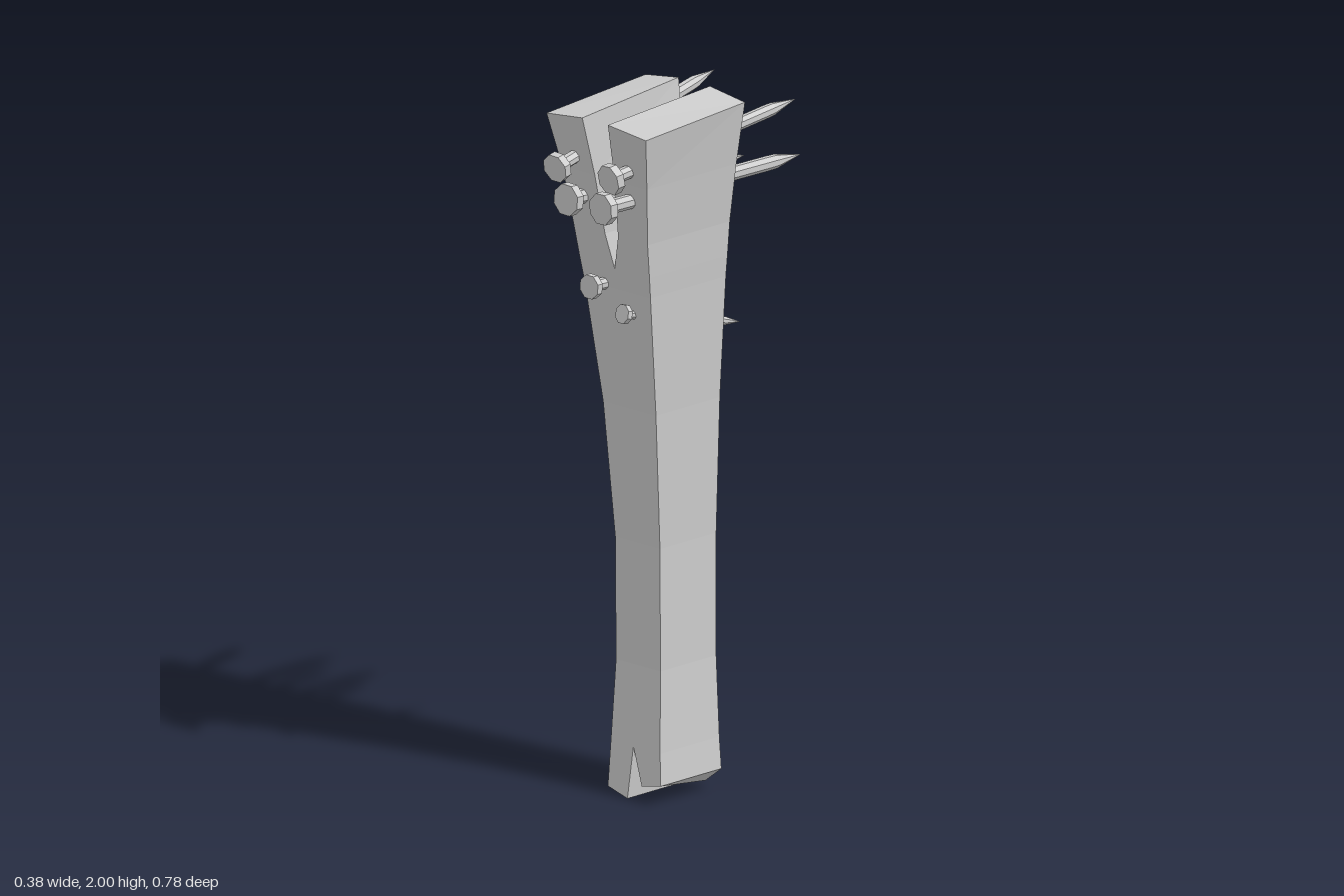
import * as THREE from 'three';

const material = new THREE.MeshStandardMaterial({ color: 0xcccccc, flatShading: true });
const BACK = -0.063;

// Depth of the curved front face at a height
const FRONT = [[0, 0.178], [0.38, 0.155], [0.73, 0.157], [1.12, 0.187], [1.47, 0.232], [1.8, 0.287], [1.96, 0.326]];
function frontZ(y) {
  let i = 0;
  while (i < FRONT.length - 2 && y > FRONT[i + 1][0]) i++;
  const [[y0, z0], [y1, z1]] = [FRONT[i], FRONT[i + 1]];
  return z0 + (z1 - z0) * Math.min(1, (y - y0) / (y1 - y0));
}

// Cross-section: left and right edge on the front, optionally others on the back
function section([xl, yl], [xr, yr], [bxl, byl] = [xl, yl], [bxr, byr] = [xr, yr]) {
  return [[xl, yl, frontZ(yl)], [xr, yr, frontZ(yr)], [bxr, byr, BACK], [bxl, byl, BACK]];
}
const level = (y, xl, xr) => section([xl, y], [xr, y]);

// Skin over sections listed from bottom to top
function loft(name, rows, capBottom, capTop) {
  const pos = [];
  const quad = (a, b, c, d) => [a, b, c, a, c, d].forEach((p) => pos.push(...p));
  for (let i = 0; i < rows.length - 1; i++) {
    for (let k = 0; k < 4; k++) {
      const n = (k + 1) % 4;
      quad(rows[i][k], rows[i][n], rows[i + 1][n], rows[i + 1][k]);
    }
  }
  if (capBottom) quad(...[...rows[0]].reverse());
  if (capTop) quad(...rows[rows.length - 1]);
  const geometry = new THREE.BufferGeometry();
  geometry.setAttribute('position', new THREE.Float32BufferAttribute(pos, 3));
  geometry.computeVertexNormals();
  const mesh = new THREE.Mesh(geometry, material);
  mesh.name = name;
  return mesh;
}

// Eight-sided nail with a pointed tip and flat head
function nail(head, tip, shaftR, headR) {
  const from = new THREE.Vector3(...tip);
  const axis = new THREE.Vector3(...head).sub(from);
  const length = axis.length();
  const profile = [
    [0, 0], [shaftR * 0.95, shaftR * 4.5], [shaftR, shaftR * 6],
    [shaftR, length - headR * 0.6], [headR, length - headR * 0.55], [headR, length], [0, length],
  ].map(([r, y]) => new THREE.Vector2(r, y));
  const mesh = new THREE.Mesh(new THREE.LatheGeometry(profile, 8, Math.PI / 8), material);
  mesh.position.copy(from);
  mesh.quaternion.setFromUnitVectors(new THREE.Vector3(0, 1, 0), axis.normalize());
  mesh.name = 'nail';
  return mesh;
}

export function createModel() {
  const group = new THREE.Group();
  group.name = 'nailedPlank';

  // Plank between the two splits
  group.add(loft('plank', [
    level(0.15, -0.096, 0.092), level(0.38, -0.09, 0.08), level(0.73, -0.091, 0.08),
    level(1.12, -0.108, 0.094), level(1.47, -0.136, 0.117), level(1.53, -0.142, 0.123),
  ], false, false));

  // Upper prongs on either side of the deep split
  group.add(loft('upperRightProng', [
    level(1.53, -0.142, -0.01), level(1.63, -0.15, -0.031), level(1.8, -0.167, -0.042),
    section([-0.19, 1.955], [-0.052, 1.97], [-0.19, 1.982], [-0.064, 2]),
  ], false, true));
  group.add(loft('upperLeftProng', [
    level(1.53, -0.01, 0.123), level(1.63, 0.019, 0.132), level(1.8, 0.034, 0.157),
    section([0.046, 1.97], [0.19, 1.955], [0.056, 2], [0.19, 1.982]),
  ], false, true));

  // Lower stubs on either side of the short split
  group.add(loft('lowerRightProng', [
    section([-0.1, 0.02], [-0.024, 0.0]), level(0.15, -0.096, -0.01),
  ], true, false));
  group.add(loft('lowerLeftProng', [
    section([0.028, 0.045], [0.1, 0.06], [0.04, 0.014], [0.1, 0.06]), level(0.15, -0.01, 0.092),
  ], true, false));

  // Nails driven through from the front: head, tip, shaft radius, head radius
  const nails = [
    [[-0.105, 1.825, 0.38], [-0.15, 1.955, -0.292], 0.019, 0.042],
    [[-0.097, 1.73, 0.345], [-0.128, 1.695, -0.387], 0.021, 0.046],
    [[0.09, 1.83, 0.37], [0.145, 1.93, -0.308], 0.019, 0.044],
    [[0.08, 1.75, 0.39], [0.105, 1.75, -0.368], 0.021, 0.046],
    [[-0.055, 1.48, 0.297], [-0.08, 1.455, -0.242], 0.017, 0.035],
    [[0.037, 1.415, 0.262], [0.075, 1.31, -0.162], 0.013, 0.028],
  ];
  nails.forEach((n) => group.add(nail(...n)));
  return group;
}
